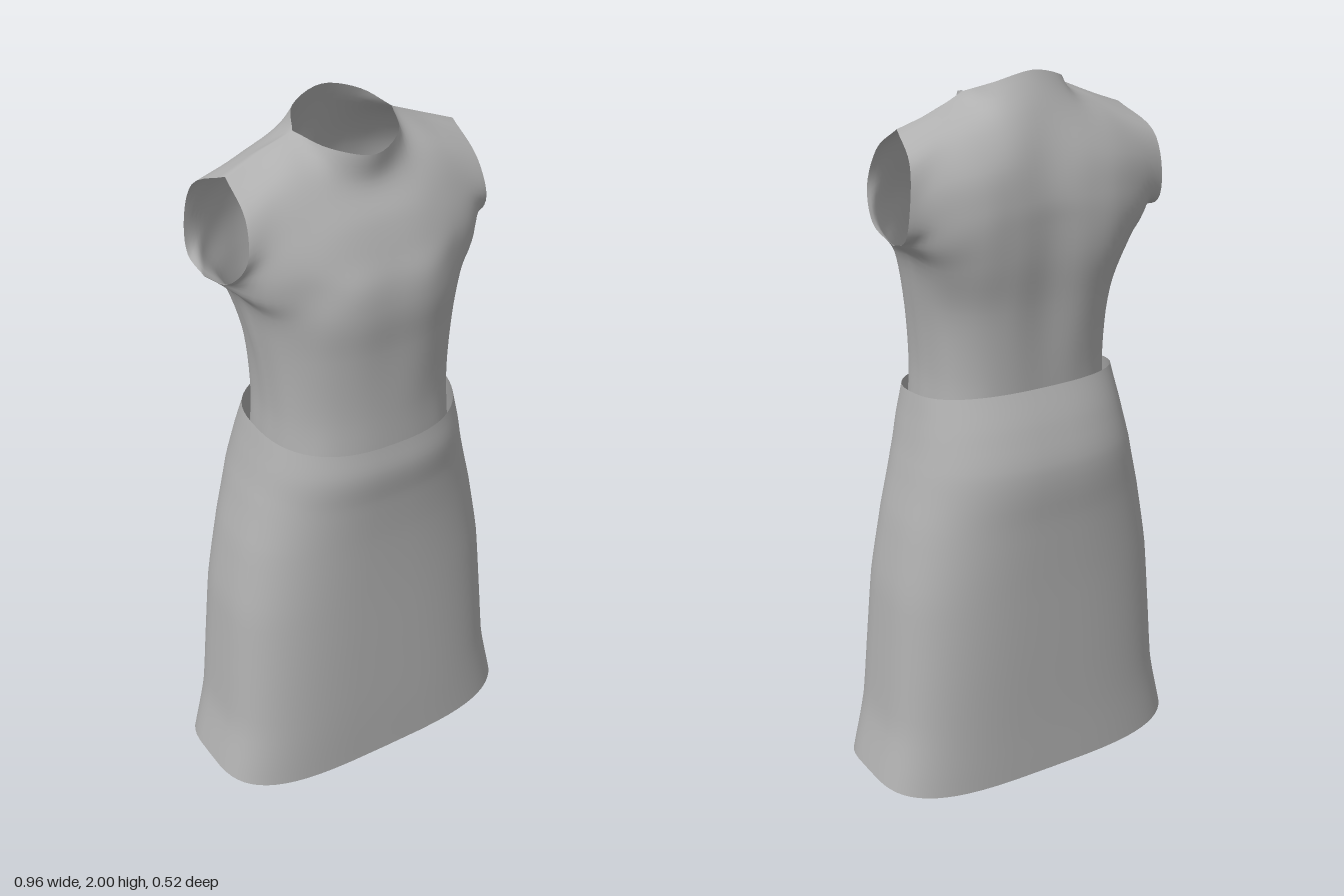
import * as THREE from 'three';
import { mergeGeometries, mergeVertices } from 'three/addons/utils/BufferGeometryUtils.js';

const STEPS = 5;

// Samples a smooth curve through points; it may turn sharply at the split indices.
function sample(points, splits = []) {
  const stops = [0, ...splits, points.length - 1];
  const out = [];
  for (let i = 0; i + 1 < stops.length; i++) {
    const piece = new THREE.CatmullRomCurve3(points.slice(stops[i], stops[i + 1] + 1));
    const pts = piece.getPoints((stops[i + 1] - stops[i]) * STEPS);
    out.push(...(i ? pts.slice(1) : pts));
  }
  return out;
}

// Joins rows of points into a surface.
function loft(rows, flip = false) {
  const n = rows[0].length, index = [];
  for (let r = 0; r + 1 < rows.length; r++) {
    for (let c = 0; c + 1 < n; c++) {
      const a = r * n + c, b = a + 1, d = a + n, e = d + 1;
      if (flip) index.push(a, d, b, b, d, e);
      else index.push(a, b, d, b, e, d);
    }
  }
  const geo = new THREE.BufferGeometry().setFromPoints(rows.flat());
  geo.setIndex(index);
  return geo;
}

function weld(parts) {
  const geo = mergeVertices(mergeGeometries(parts), 1e-4);
  geo.computeVertexNormals();
  return geo;
}

// Cross-sections run from the side seam or armhole edge to the centre line.
const SHOULDER = [[.335, 1.87, -.01], [.24, 1.905, -.02], [.145, 1.945, -.01]];
const FRONT = [
  [[.27, 1.08, .02], [.255, 1.08, .12], [.2, 1.08, .19], [.11, 1.08, .225], [0, 1.08, .235]],
  [[.265, 1.22, .02], [.25, 1.22, .12], [.19, 1.22, .185], [.1, 1.22, .222], [0, 1.22, .232]],
  [[.285, 1.4, .01], [.265, 1.4, .115], [.2, 1.4, .19], [.11, 1.4, .23], [0, 1.4, .237]],
  [[.325, 1.55, -.03], [.285, 1.52, .12], [.2, 1.52, .205], [.11, 1.52, .243], [0, 1.52, .248]],
  [[.38, 1.59, -.06], [.31, 1.58, .13], [.2, 1.6, .2], [.11, 1.6, .237], [0, 1.6, .24]],
  [[.375, 1.62, .06], [.31, 1.65, .14], [.21, 1.67, .185], [.11, 1.67, .21], [0, 1.67, .215]],
  [[.355, 1.7, .125], [.29, 1.73, .135], [.2, 1.75, .155], [.11, 1.75, .175], [0, 1.75, .18]],
  [[.34, 1.8, .095], [.265, 1.84, .085], [.19, 1.86, .09], [.1, 1.84, .12], [0, 1.83, .133]],
  [...SHOULDER, [.1, 1.925, .09], [0, 1.905, .14]],
];
const BACK = [
  [[.27, 1.08, .02], [.25, 1.08, -.09], [.19, 1.08, -.148], [.1, 1.08, -.17], [0, 1.08, -.172]],
  [[.265, 1.22, .02], [.245, 1.22, -.09], [.185, 1.22, -.15], [.1, 1.22, -.178], [0, 1.22, -.18]],
  [[.285, 1.4, .01], [.26, 1.4, -.1], [.2, 1.4, -.165], [.11, 1.4, -.195], [0, 1.4, -.19]],
  [[.325, 1.55, -.03], [.29, 1.53, -.14], [.21, 1.53, -.2], [.11, 1.53, -.215], [0, 1.53, -.205]],
  [[.38, 1.59, -.06], [.315, 1.6, -.165], [.21, 1.62, -.215], [.11, 1.62, -.22], [0, 1.62, -.21]],
  [[.385, 1.62, -.135], [.31, 1.67, -.18], [.2, 1.69, -.215], [.11, 1.69, -.218], [0, 1.69, -.21]],
  [[.38, 1.71, -.155], [.3, 1.76, -.17], [.2, 1.78, -.195], [.11, 1.79, -.2], [0, 1.79, -.19]],
  [[.365, 1.81, -.13], [.27, 1.85, -.12], [.19, 1.875, -.13], [.1, 1.89, -.15], [0, 1.91, -.15]],
  [...SHOULDER, [.1, 1.975, -.085], [0, 2, -.11]],
];
const ARMPIT_ROW = 4, NECK_CORNER = 2;

// One bodice panel: smooth upwards, then across both mirrored halves.
function bodicePanel(keys, flip) {
  const columns = keys[0].map((_, c) =>
    sample(keys.map(row => new THREE.Vector3(...row[c])), c === 0 ? [ARMPIT_ROW] : []));
  const rows = columns[0].map((_, r) => {
    const half = columns.map(col => col[r]);
    const mirrored = half.slice(0, -1).reverse().map(p => new THREE.Vector3(-p.x, p.y, p.z));
    const atNeck = r === columns[0].length - 1;
    return sample([...half, ...mirrored], atNeck ? [NECK_CORNER, 8 - NECK_CORNER] : []);
  });
  return loft(rows, flip);
}

// Skirt levels: height, half width, front depth, back depth, squareness.
const SKIRT = [
  [.03, .48, .235, .237, 3.4], [.2, .442, .237, .238, 3.2], [.4, .426, .236, .242, 3],
  [.6, .41, .235, .246, 2.8], [.8, .375, .238, .253, 2.6], [.95, .338, .248, .26, 2.5],
  [1.06, .312, .26, .228, 2.5], [1.152, .293, .25, .187, 2.5],
];

function skirtGeometry() {
  const sizes = sample(SKIRT.map(([, w, f, b]) => new THREE.Vector3(w, f, b)));
  const levels = sample(SKIRT.map(s => new THREE.Vector3(s[0], s[4], 0)));
  const rows = sizes.map((size, r) => {
    const { x: y, y: power } = levels[r];
    const hem = Math.max(0, 1 - y / .2), waist = Math.max(0, (y - .9) / .25);
    const ring = [];
    for (let i = 0; i <= 64; i++) {
      const a = i / 64 * Math.PI * 2, s = Math.sin(a), c = Math.cos(a);
      const round = v => Math.sign(v) * Math.abs(v) ** (2 / power);
      const z = round(c) * (c > 0 ? size.y : size.z);
      // The hem dips at front and back; the waistline rises towards the back.
      ring.push(new THREE.Vector3(round(s) * size.x, y - hem * .6 * z * z - waist * .12 * z, z));
    }
    return ring;
  });
  return weld([loft(rows)]);
}

export function createModel() {
  const cloth = new THREE.MeshStandardMaterial({ color: 0xb0b0b0, side: THREE.DoubleSide });
  cloth.name = 'grey cloth';

  const bodice = new THREE.Mesh(weld([bodicePanel(FRONT, true), bodicePanel(BACK, false)]), cloth);
  bodice.name = 'bodice';
  const skirt = new THREE.Mesh(skirtGeometry(), cloth);
  skirt.name = 'skirt';

  const dress = new THREE.Group();
  dress.name = 'sleeveless dress';
  dress.add(bodice, skirt);
  return dress;
}
